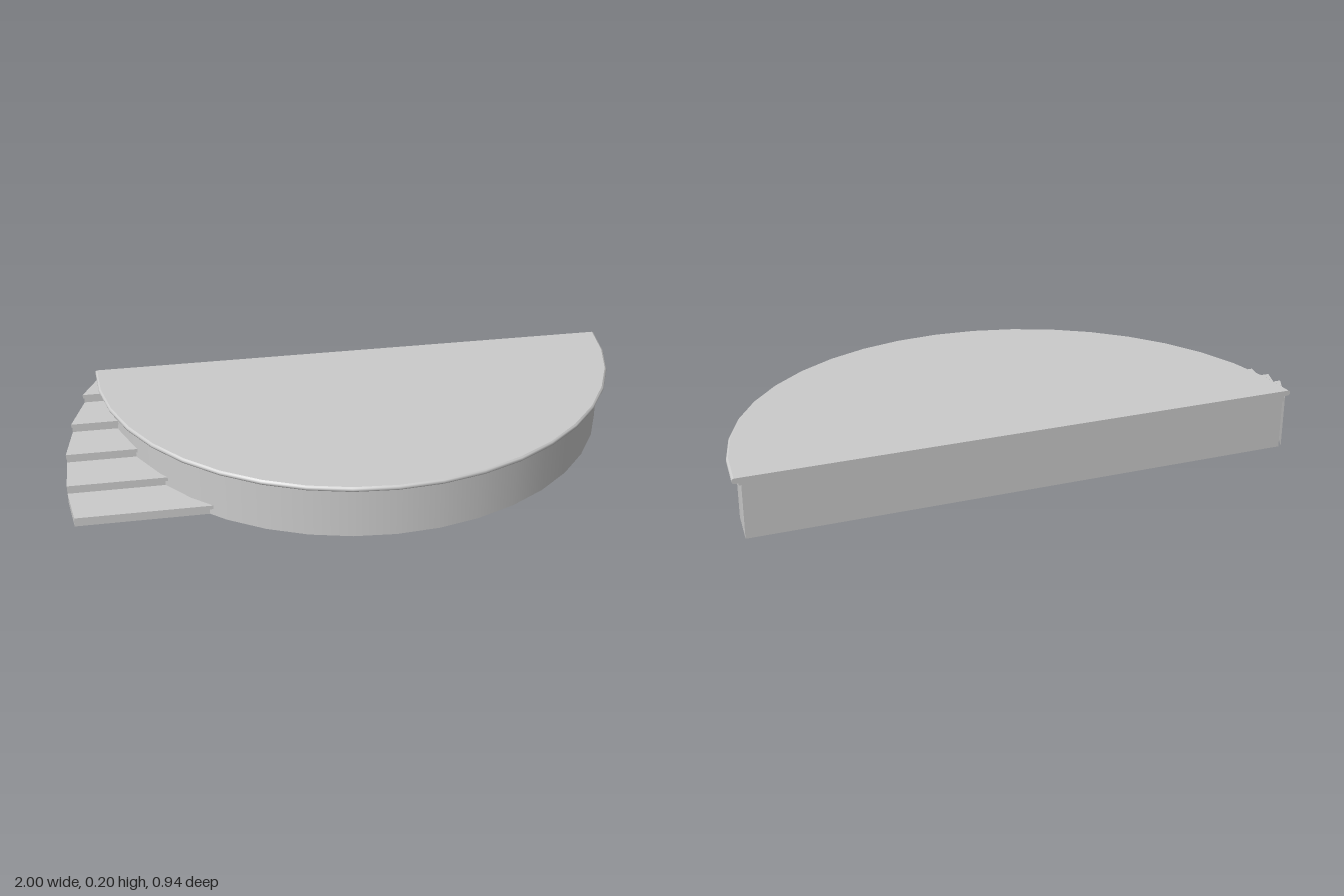
import * as THREE from 'three';
import { toCreasedNormals } from 'three/addons/utils/BufferGeometryUtils.js';

export function createModel() {
  const model = new THREE.Group();
  const mat = new THREE.MeshStandardMaterial({ color: 0xcccccc, side: THREE.DoubleSide });
  const add = (name, geometry, parent, x = 0, y = 0, z = 0) => {
    const mesh = new THREE.Mesh(geometry, mat);
    mesh.name = name;
    mesh.position.set(x, y, z);
    parent.add(mesh);
    return mesh;
  };
  const v2 = (x, y) => new THREE.Vector2(x, y);

  // Half-round stage, hollow and open underneath
  const stage = new THREE.Group();
  stage.name = 'stage';
  stage.position.set(0.055, 0, -0.4715);
  model.add(stage);
  const wallR = 0.915, top = 0.203, segments = 20;
  const halfLathe = (pts) => new THREE.LatheGeometry(pts, segments, -Math.PI / 2, Math.PI);

  add('curvedWall', halfLathe([v2(wallR, 0), v2(wallR, top)]), stage);

  // Rounded lip with a small moulding below it
  const lip = [
    v2(wallR, 0.178), v2(0.922, 0.179), v2(0.923, 0.185), v2(0.936, 0.185), v2(0.941, 0.188),
    v2(0.943, 0.194), v2(0.941, 0.2), v2(0.936, top),
  ];
  add('deckLip', toCreasedNormals(halfLathe(lip), 0.8), stage);

  // Flat deck
  const deck = new THREE.CircleGeometry(0.936, segments, Math.PI, Math.PI);
  deck.rotateX(-Math.PI / 2);
  add('deck', deck, stage, 0, top, 0);

  // Straight back wall, outlined by the wall and lip profile
  const side = [v2(wallR, 0), ...lip];
  const outline = [...side, ...side.map((p) => v2(-p.x, p.y)).reverse()];
  const back = new THREE.ShapeGeometry(new THREE.Shape(outline));
  back.rotateY(Math.PI);
  add('backWall', back, stage);

  // Stairs wrap around the side; their outer edge follows a circle
  const stairs = new THREE.Group();
  stairs.name = 'stairs';
  model.add(stairs);
  const cx = -0.03, cz = 0.015, R = 0.97, width = 0.72;
  const outerX = (z) => cx - Math.sqrt(R * R - (z - cz) ** 2);
  const angle = (z) => Math.acos((z - cz) / R);
  const count = 5, run = 0.1425, rise = 0.0355, thick = 0.014, nosing = 0.01;

  for (let i = 0; i < count; i++) {
    const front = 0.235 - i * run;
    const riserZ = front - nosing;
    const end = i < count - 1 ? riserZ - run : -0.471;
    const y = 0.038 + i * rise;
    const below = i ? y - rise : 0;

    // Tread slab with an overhanging nose
    const plan = new THREE.Shape([
      v2(outerX(front), front), v2(outerX(end), end),
      v2(outerX(end) + width, end), v2(outerX(front) + width, front),
    ]);
    const tread = new THREE.ExtrudeGeometry(plan, { depth: thick, bevelEnabled: false });
    tread.rotateX(Math.PI / 2);
    add('tread', tread, stairs, 0, y, 0);

    // Riser under the nose
    const h = y - thick - below;
    add('riser', new THREE.PlaneGeometry(width, h), stairs,
      outerX(riserZ) + width / 2, below + h / 2, riserZ);

    // Outer side wall down to the ground
    const wallH = y - thick / 2;
    const a0 = angle(riserZ), a1 = angle(end);
    add('stairSide', new THREE.CylinderGeometry(R, R, wallH, 1, 1, true, 2 * Math.PI - a1, a1 - a0),
      stairs, cx, wallH / 2, cz);
  }
  return model;
}
